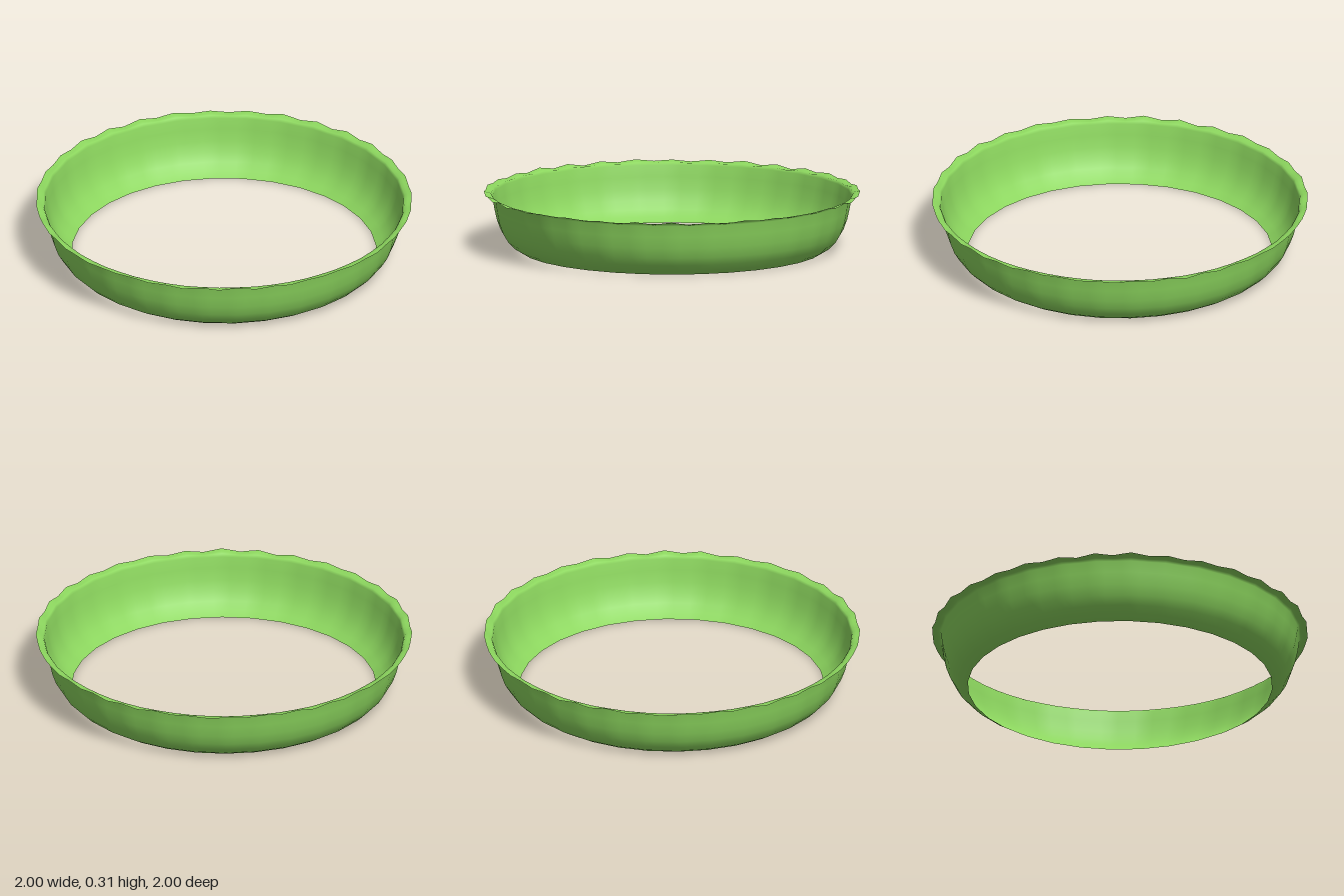
import * as THREE from 'three';
import { mergeVertices } from 'three/addons/utils/BufferGeometryUtils.js';

const SIDES = 32;
const STEPS = 4; // subdivisions of each straight side

// Profile from the open base up to the flared lip: radius, height
const profile = [
  [0.81, 0], [0.85, 0.025], [0.885, 0.06], [0.912, 0.105], [0.932, 0.16],
  [0.946, 0.225], [0.955, 0.285], [0.963, 0.298], [0.98, 0.3], [1, 0.305],
].map(([r, y]) => new THREE.Vector2(r, y));

export function createModel() {
  const group = new THREE.Group();
  group.name = 'pieDish';

  const geometry = new THREE.LatheGeometry(profile, SIDES * STEPS);
  const pos = geometry.attributes.position;
  const side = (Math.PI * 2) / SIDES;
  for (let i = 0; i < pos.count; i++) {
    const x = pos.getX(i), y = pos.getY(i), z = pos.getZ(i);
    const angle = Math.atan2(x, z);

    // Pull the circle in to the straight sides of a polygon
    const local = angle - (Math.floor(angle / side + 1e-4) + 0.5) * side;
    const pull = Math.cos(side / 2) / Math.cos(local);

    // Crimp the lip with slightly uneven ripples, fading out towards the wall
    const lip = THREE.MathUtils.smoothstep(Math.hypot(x, z), 0.95, 0.99);
    const strength = 0.0055 + 0.002 * Math.sin(angle * 5 + 1);
    const ripple = strength * Math.cos(angle * SIDES) + 0.002 * Math.sin(angle * 11);
    pos.setXYZ(i, x * pull, y + lip * ripple, z * pull);
  }

  // Weld the seam so the shading stays smooth all round
  geometry.deleteAttribute('uv');
  geometry.deleteAttribute('normal');
  const welded = mergeVertices(geometry, 1e-4);
  welded.computeVertexNormals();

  const wall = new THREE.Mesh(
    welded,
    new THREE.MeshStandardMaterial({ color: 0x8cd65e, side: THREE.DoubleSide }),
  );
  wall.name = 'crimpedWall';
  group.add(wall);
  return group;
}
